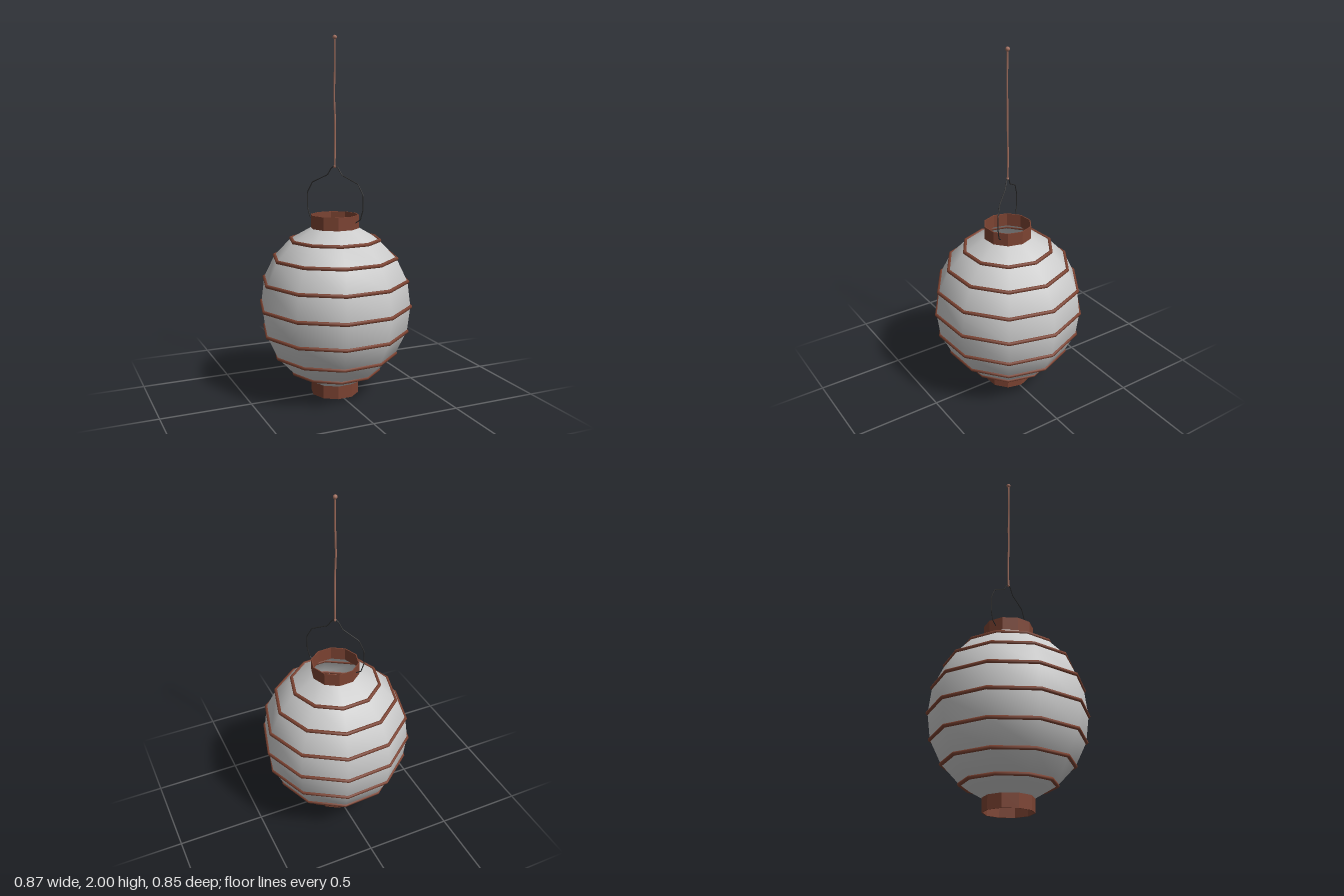
import * as THREE from 'three';

const SIDES = 10;
const START = Math.PI / 10; // puts a corner on +x
const V2 = (x, y) => new THREE.Vector2(x, y);
const V3 = (x, y, z) => new THREE.Vector3(x, y, z);

export function createModel() {
  const model = new THREE.Group();
  const paper = new THREE.MeshStandardMaterial({ color: 0xcccccc, side: THREE.DoubleSide });
  const wood = new THREE.MeshStandardMaterial({ color: 0x7c4332, flatShading: true });
  const hoopBrown = new THREE.MeshStandardMaterial({ color: 0x7c4332 });
  const wire = new THREE.MeshStandardMaterial({ color: 0x2a2a2a });
  const rope = new THREE.MeshStandardMaterial({ color: 0xa06e5e });

  function add(parent, name, geometry, material) {
    const mesh = new THREE.Mesh(geometry, material);
    mesh.name = name;
    parent.add(mesh);
    return mesh;
  }

  // Ten-sided lantern, turned slightly about its axis
  const lantern = new THREE.Group();
  lantern.name = 'lantern';
  lantern.rotation.y = THREE.MathUtils.degToRad(3.3);
  model.add(lantern);

  // Hoop heights and radii, bottom to top
  const hoops = [
    [0.251, 0.14], [0.347, 0.242], [0.409, 0.371], [0.427, 0.514],
    [0.409, 0.657], [0.347, 0.785], [0.251, 0.885],
  ];

  // Open paper shade stretched over the hoops
  const profile = [[0.134, 0.073], ...hoops, [0.134, 0.952]].map(([r, y]) => V2(r, y));
  add(lantern, 'paperShade', new THREE.LatheGeometry(profile, SIDES, START), paper);

  hoops.forEach(([r, y], i) => {
    const geometry = new THREE.TorusGeometry(r, 0.0105, 8, SIDES).rotateX(-Math.PI / 2);
    add(lantern, `hoop${i + 1}`, geometry, hoopBrown).position.y = y;
  });

  // Thin collars around both openings
  for (const [name, y0, y1] of [['bottomCollar', 0, 0.075], ['topCollar', 0.951, 1.025]]) {
    const wall = [V2(0.136, y0), V2(0.136, y1), V2(0.13, y1), V2(0.13, y0), V2(0.136, y0)];
    add(lantern, name, new THREE.LatheGeometry(wall, SIDES, START), wood);
  }

  // Bent wire handle in a diagonal plane, made of straight lengths
  const half = [
    [0.128, 0.985], [0.158, 1.005], [0.174, 1.06], [0.174, 1.14],
    [0.142, 1.2], [0.045, 1.245], [0.02, 1.285],
  ];
  const bend = [
    ...half.map(([r, y]) => V3(-r, y, 0)),
    V3(0, 1.297, 0),
    ...half.slice().reverse().map(([r, y]) => V3(r, y, 0)),
  ];
  const handlePath = new THREE.CurvePath();
  for (let i = 1; i < bend.length; i++) handlePath.add(new THREE.LineCurve3(bend[i - 1], bend[i]));
  const handle = add(model, 'wireHandle', new THREE.TubeGeometry(handlePath, 96, 0.003, 6), wire);
  handle.rotation.y = -Math.atan2(0.135, 0.11);

  // Slightly wavy hanging cord with a knot at each end
  const cord = new THREE.CatmullRomCurve3([
    V3(0, 1.288, 0), V3(0.002, 1.42, -0.001), V3(0.001, 1.55, 0.001),
    V3(-0.003, 1.68, -0.001), V3(-0.001, 1.82, 0.002), V3(0, 1.987, 0),
  ]);
  add(model, 'hangingCord', new THREE.TubeGeometry(cord, 24, 0.005, 6), rope);
  for (const [name, y, r] of [['lowerKnot', 1.292, 0.008], ['topKnot', 1.988, 0.012]]) {
    add(model, name, new THREE.SphereGeometry(r, 10, 8), rope).position.y = y;
  }

  return model;
}
